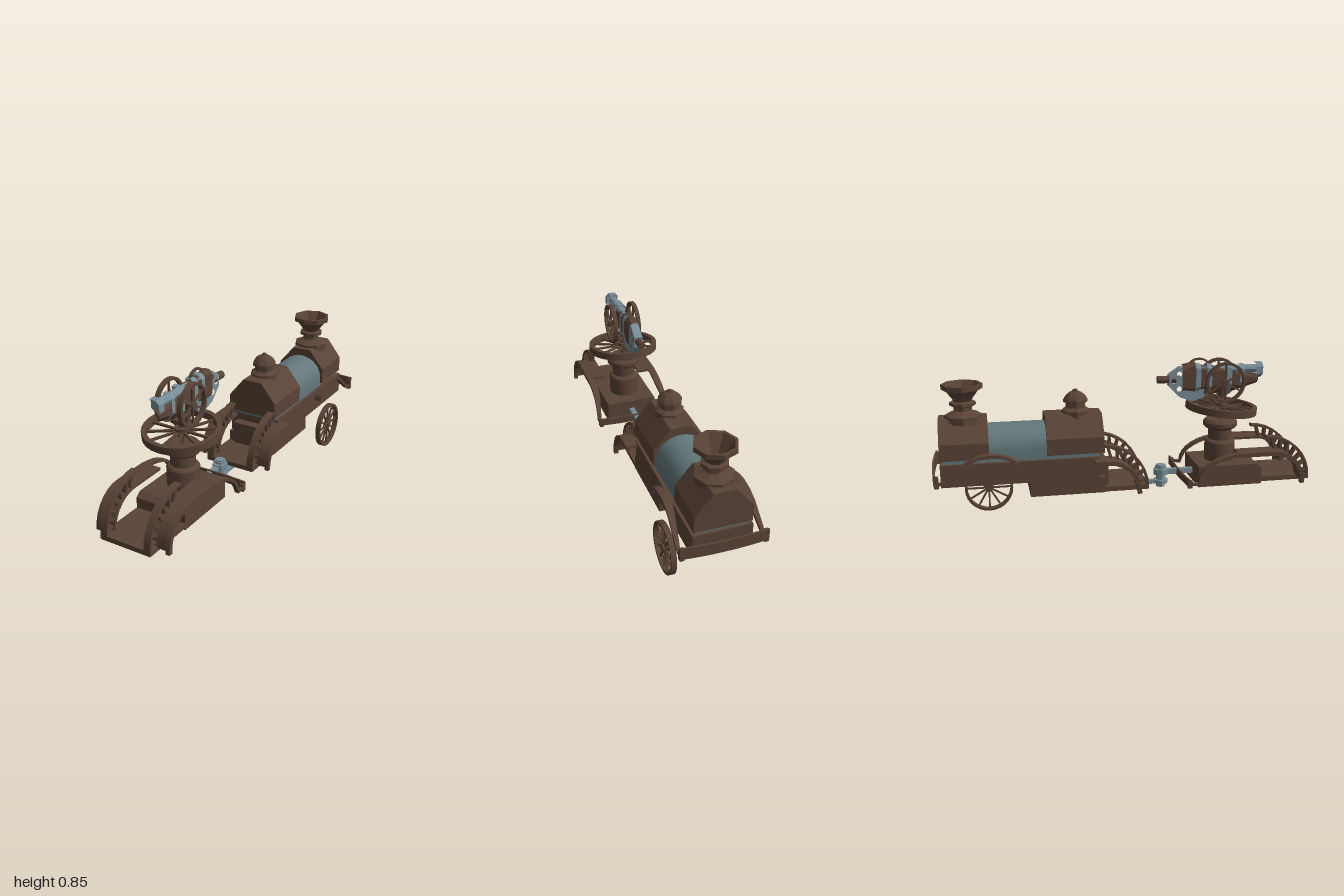
import * as THREE from 'three';
import { toCreasedNormals } from 'three/addons/utils/BufferGeometryUtils.js';

const mat = (name, color) => Object.assign(new THREE.MeshStandardMaterial({ color }), { name });

export function createModel() {
  const root = new THREE.Group();
  const brown = mat('dark brown', 0x5a4337);
  const teal = mat('tank teal', 0x62777a);
  const steel = mat('blue steel', 0x788d97);

  // Adds a mesh; edges sharper than the crease angle stay hard
  function add(name, geo, material = brown, pos = [0, 0, 0], parent = root, crease = 0.35) {
    const mesh = new THREE.Mesh(toCreasedNormals(geo, crease), material);
    mesh.name = name;
    mesh.position.set(...pos);
    parent.add(mesh);
    return mesh;
  }
  // Box from its limits
  function box(name, x0, x1, y0, y1, z0, z1, material = brown, parent = root) {
    return add(name, new THREE.BoxGeometry(x1 - x0, y1 - y0, z1 - z0), material,
      [(x0 + x1) / 2, (y0 + y1) / 2, (z0 + z1) / 2], parent);
  }
  const shapeOf = pts => new THREE.Shape(pts.map(p => new THREE.Vector2(p[0], p[1])));
  // Section in (x, y) drawn out along z
  function alongZ(pts, z0, z1) {
    return new THREE.ExtrudeGeometry(shapeOf(pts), { depth: z1 - z0, bevelEnabled: false }).translate(0, 0, z0);
  }
  // Outline in (z, y) drawn out along x
  function alongX(shape, x0, x1) {
    return new THREE.ExtrudeGeometry(shape, { depth: x1 - x0, bevelEnabled: false, curveSegments: 8 })
      .rotateY(-Math.PI / 2).translate(x1, 0, 0);
  }
  // Bent strip following (z, y) points with a given thickness
  function ribbon(path, t, x0, x1) {
    const inner = path.map((p, i) => {
      const a = path[Math.max(0, i - 1)], b = path[Math.min(path.length - 1, i + 1)];
      const dz = b[0] - a[0], dy = b[1] - a[1], l = Math.hypot(dz, dy);
      return [p[0] - dy / l * t, p[1] + dz / l * t];
    });
    return alongX(shapeOf([...path, ...inner.reverse()]), x0, x1);
  }
  function arc(cz, cy, rz, ry, a0, a1, n) {
    return Array.from({ length: n + 1 }, (_, i) => {
      const a = a0 + (a1 - a0) * i / n;
      return [cz + rz * Math.cos(a), cy + ry * Math.sin(a)];
    });
  }
  const lathe = (pts, n) => new THREE.LatheGeometry(pts.map(p => new THREE.Vector2(p[0], p[1])), n);
  // Spoked wheel around the y axis
  function wheel(name, r, rimW, h, spokes, spokeW, hubR, parent = root) {
    const g = new THREE.Group();
    g.name = name;
    parent.add(g);
    const i = r - rimW;
    add(name + 'Rim', lathe([[i, -h / 2], [r, -h / 2], [r, h / 2], [i, h / 2], [i, -h / 2]], 28), brown, [0, 0, 0], g);
    add(name + 'Hub', new THREE.CylinderGeometry(hubR, hubR, h * 1.05, 10), brown, [0, 0, 0], g);
    for (let k = 0; k < spokes; k++) {
      const geo = new THREE.BoxGeometry(i, spokeW, spokeW).translate(i / 2, 0, 0).rotateY(k * 2 * Math.PI / spokes);
      add(name + 'Spoke', geo, brown, [0, 0, 0], g);
    }
    return g;
  }

  // Slatted arch and side fender at the nose of each vehicle
  function noseFenders(cz, tail) {
    const cy = 0.2, q = Math.PI / 2;
    for (const s of [1, -1]) {
      const X = (a, b) => s > 0 ? [a, b] : [-b, -a];
      add('slattedArch', ribbon(arc(cz, cy, 0.25, 0.235, 0, q, 8), 0.012, ...X(0.103, 0.14)));
      const low = arc(cz + 0.03, cy, 0.165, 0.165, 0, q, 7);
      add('sideFender', ribbon([...low, [tail, 0.365]], 0.014, ...X(0.103, 0.193)));
      add('fenderRim', ribbon([...arc(cz + 0.03, cy - 0.015, 0.17, 0.182, 0, q, 7), [tail, 0.367]], 0.022, ...X(0.185, 0.207)));
      for (let k = 0; k < 7; k++) {
        const a = 0.15 + k * 0.215;
        const p = [cz + 0.03 + 0.16 * Math.cos(a), cy + 0.16 * Math.sin(a)];
        const e = [cz + 0.244 * Math.cos(a), cy + 0.23 * Math.sin(a)];
        const geo = new THREE.BoxGeometry(0.03, 0.013, Math.hypot(e[0] - p[0], e[1] - p[1]));
        const slat = add('fenderSlat', geo, brown, [s * 0.122, (p[1] + e[1]) / 2, (p[0] + e[0]) / 2]);
        slat.rotation.x = -Math.atan2(e[1] - p[1], e[0] - p[0]);
      }
    }
    box('footPlate', -0.14, 0.14, 0.183, 0.208, cz - 0.05, cz + 0.25);
  }
  // Trailing strips that narrow toward the bumper, and the bumper itself
  function tailFenders(path, zb, y0, y1) {
    const zs = path.map(p => p[0]), far = Math.min(...zs), near = Math.max(...zs);
    for (const s of [1, -1]) {
      const geo = ribbon(path, 0.015, -0.5, 0.5), p = geo.attributes.position;
      for (let i = 0; i < p.count; i++) {
        const t = THREE.MathUtils.clamp((p.getZ(i) - far) / (near - far) * 2, 0, 1);
        const inner = 0.2 - 0.03 * t, outer = 0.213 - 0.006 * t;
        p.setX(i, (p.getX(i) * s > 0) ? s * outer : s * inner);
      }
      add('tailFender', geo);
      box('bumperHook', s > 0 ? 0.192 : -0.213, s > 0 ? 0.213 : -0.192, y0 - 0.01, y1 - 0.01, zb + 0.012, zb + 0.035);
    }
    const geo = new THREE.BoxGeometry(0.426, y1 - y0, 0.01, 8, 1, 1), p = geo.attributes.position;
    for (let i = 0; i < p.count; i++) p.setZ(i, p.getZ(i) + 0.25 * p.getX(i) ** 2);
    add('bumper', geo, brown, [0, (y0 + y1) / 2, zb + 0.005]);
  }

  // Front cart
  noseFenders(0.75, 0.58);
  tailFenders([...arc(0.6, 0.22, 0.24, 0.145, Math.PI / 2, Math.PI, 8), [0.31, 0.225]], 0.292, 0.205, 0.245);
  add('cartBody', alongX(shapeOf([[0.38, 0.172], [0.73, 0.172], [0.73, 0.262], [0.7, 0.285], [0.38, 0.285]]), -0.14, 0.14));
  add('pedestal', lathe([[0, 0.28], [0.082, 0.28], [0.082, 0.385], [0.075, 0.395], [0.063, 0.4], [0.063, 0.455],
    [0.078, 0.462], [0.092, 0.475], [0.092, 0.495], [0.078, 0.51], [0, 0.51]], 20), brown, [0, 0, 0.533]);
  add('post', new THREE.CylinderGeometry(0.014, 0.014, 0.2, 10), brown, [0, 0.59, 0.533]);
  const turn = wheel('turntable', 0.192, 0.024, 0.038, 12, 0.011, 0.034);
  turn.position.set(0, 0.574, 0.535);
  turn.rotation.x = 0.1;

  // Gun mount with side handwheels
  for (const s of [1, -1]) {
    const hw = wheel('handwheel', 0.108, 0.014, 0.022, 6, 0.009, 0.018);
    hw.rotation.z = Math.PI / 2;
    hw.position.set(s * 0.065, 0.72, 0.535);
    const leg = box('yokeLeg', s * 0.04 - 0.006, s * 0.04 + 0.006, 0.615, 0.73, 0.52, 0.55);
    leg.rotation.z = s * -0.1;
  }
  box('yokeBase', -0.045, 0.045, 0.612, 0.63, 0.51, 0.56);
  add('axle', new THREE.CylinderGeometry(0.01, 0.01, 0.15, 8).rotateZ(Math.PI / 2), brown, [0, 0.72, 0.535]);

  // Gun section with a V-shaped keel: [z, top, bottom, half width]
  function keel(name, a, b, material) {
    const ring = ([z, t, d, w]) => [[w * 0.5, t], [w, t - 0.02], [w, d + (t - d) * 0.3], [0, d],
      [-w, d + (t - d) * 0.3], [-w, t - 0.02], [-w * 0.5, t]].map(p => [...p, z]);
    const A = ring(a), B = ring(b), v = [], n = A.length;
    for (let i = 0; i < n; i++) {
      const j = (i + 1) % n;
      v.push(A[i], B[i], A[j], A[j], B[i], B[j]);
      if (i > 0 && i < n - 1) v.push(A[0], A[i + 1], A[i], B[0], B[i], B[i + 1]);
    }
    const geo = new THREE.BufferGeometry();
    // Loops run clockwise seen from +z, so the order is turned round
    for (let i = 0; i < v.length; i += 3) [v[i + 1], v[i + 2]] = [v[i + 2], v[i + 1]];
    geo.setAttribute('position', new THREE.Float32BufferAttribute(v.flat(), 3));
    geo.computeVertexNormals();
    add(name, geo, material, [0, 0, 0], root, 0.1);
  }
  keel('muzzle', [0.75, 0.812, 0.73, 0.037], [0.712, 0.812, 0.725, 0.037], steel);
  add('barrel', new THREE.CylinderGeometry(0.023, 0.023, 0.3, 8).rotateX(Math.PI / 2), steel, [0, 0.778, 0.57]);
  keel('lowerJacket', [0.73, 0.75, 0.7, 0.018], [0.6, 0.765, 0.66, 0.024], brown);
  keel('barrelBand', [0.65, 0.805, 0.675, 0.034], [0.625, 0.805, 0.668, 0.034], steel);
  keel('receiver', [0.6, 0.79, 0.66, 0.026], [0.35, 0.81, 0.635, 0.028], brown);
  for (const z of [0.58, 0.47, 0.41]) keel('receiverBand', [z, 0.812, 0.645, 0.036], [z - 0.028, 0.815, 0.638, 0.036], steel);
  keel('breech', [0.38, 0.825, 0.625, 0.03], [0.31, 0.81, 0.64, 0.03], brown);
  const bracket = shapeOf([[0.44, 0.8], [0.43, 0.635], [0.37, 0.615], [0.3, 0.64], [0.24, 0.7], [0.24, 0.76], [0.3, 0.8]]);
  for (const [z, y, r] of [[0.265, 0.73, 0.014], [0.295, 0.765, 0.014], [0.295, 0.685, 0.014]]) {
    bracket.holes.push(new THREE.Path().absarc(z, y, r, 0, Math.PI * 2, true));
  }
  add('rearBracket', alongX(bracket, -0.022, 0.022), steel);
  add('grip', new THREE.CylinderGeometry(0.02, 0.02, 0.12, 8).rotateX(Math.PI / 2), brown, [0, 0.735, 0.24]);
  add('carryHandle', ribbon(arc(0.405, 0.8, 0.06, 0.045, 0, Math.PI, 8), 0.01, -0.006, 0.006));

  // Coupling
  for (const [r, y0, y1] of [[0.024, 0.145, 0.268], [0.04, 0.165, 0.185], [0.04, 0.212, 0.245], [0.03, 0.25, 0.262]]) {
    add('couplingBolt', new THREE.CylinderGeometry(r, r, y1 - y0, 8), steel, [0, (y0 + y1) / 2, 0.205]);
  }
  box('frontDrawbar', -0.014, 0.014, 0.212, 0.24, 0.205, 0.4, steel);
  box('rearDrawbar', -0.014, 0.014, 0.163, 0.184, 0, 0.205, steel);

  // Rear wagon chassis
  noseFenders(-0.14, -0.18);
  tailFenders([...arc(-0.71, 0.35, 0.155, 0.085, 0, Math.PI / 2, 5), [-0.77, 0.428], [-0.83, 0.4], [-0.89, 0.35],
    [-0.93, 0.315], [-0.98, 0.305]], -0.998, 0.29, 0.35);
  box('chassis', -0.145, 0.145, 0.26, 0.375, -0.955, -0.15);
  box('underBox', -0.14, 0.14, 0.18, 0.262, -0.51, -0.12);
  box('seatStep', -0.103, 0.103, 0.2, 0.33, -0.17, -0.1);

  // Boiler: rounded tank between two angular housings
  const tank = [[-0.127, 0.37], [0.127, 0.37], ...arc(0, 0.43, 0.127, 0.115, 0, Math.PI, 16)];
  add('tank', alongZ(tank, -0.94, -0.15), teal, [0, 0, 0], root, 0.6);
  const hood = [[-0.14, 0.395], [0.14, 0.395], [0.14, 0.48], [0.055, 0.585], [-0.055, 0.585], [-0.14, 0.48]];
  add('cabHousing', alongZ(hood, -0.42, -0.125));
  add('rearHousing', alongZ(hood, -0.955, -0.71));

  // Steam dome and funnel chimney
  add('steamDome', lathe([[0.075, 0.56], [0.075, 0.597], [0.052, 0.612], [0.052, 0.637], [0.064, 0.64], [0.064, 0.652],
    [0.052, 0.672], [0.034, 0.688], [0.014, 0.695], [0.012, 0.704], [0, 0.704]], 8), brown, [0, 0, -0.255]);
  add('chimney', lathe([[0.095, 0.56], [0.095, 0.598], [0.06, 0.612], [0.046, 0.622], [0.046, 0.64], [0.066, 0.648],
    [0.066, 0.664], [0.046, 0.67], [0.052, 0.682], [0.086, 0.728], [0.104, 0.732], [0.104, 0.757], [0.09, 0.757],
    [0.035, 0.67], [0, 0.66]], 8), brown, [0, 0, -0.828]);

  // Single road wheel on the left side
  const road = wheel('roadWheel', 0.131, 0.014, 0.028, 12, 0.009, 0.022);
  road.rotation.z = Math.PI / 2;
  road.position.set(0.185, 0.131, -0.715);

  return root;
}
